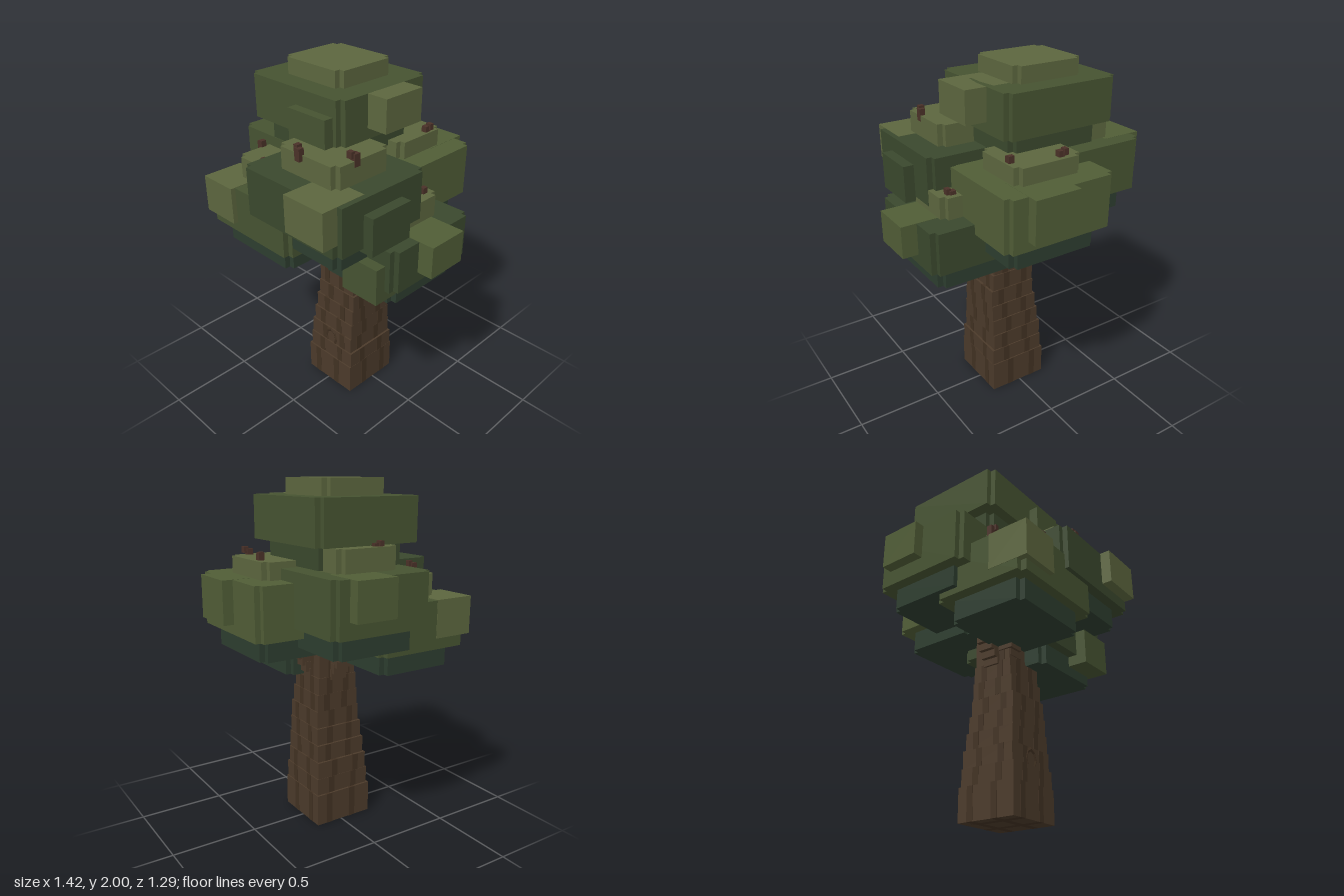
import * as THREE from 'three';

const material = (color) => new THREE.MeshStandardMaterial({ color, flatShading: true });

// box from its centre and size
function box(parent, name, mat, [x, y, z], [w, h, d]) {
  const mesh = new THREE.Mesh(new THREE.BoxGeometry(w, h, d), mat);
  mesh.position.set(x, y, z);
  mesh.name = name;
  parent.add(mesh);
}

// block standing on height y, with a square notch cut from each upright corner
function notchedBlock(parent, name, mat, [x, y, z], [w, h, d]) {
  const n = 0.032, a = w / 2, b = d / 2;
  const shape = new THREE.Shape();
  for (const [sx, sz] of [[1, 1], [-1, 1], [-1, -1], [1, -1]]) {
    const corner = [[a, b - n], [a - n, b - n], [a - n, b]];
    if (sx !== sz) corner.reverse();
    for (const [px, pz] of corner) {
      if (shape.curves.length || shape.currentPoint.lengthSq()) shape.lineTo(sx * px, sz * pz);
      else shape.moveTo(px, pz);
    }
  }
  const geometry = new THREE.ExtrudeGeometry(shape, { depth: h, bevelEnabled: false });
  geometry.rotateX(-Math.PI / 2);
  const mesh = new THREE.Mesh(geometry, mat);
  mesh.position.set(x, y, z);
  mesh.name = name;
  parent.add(mesh);
}

export function createModel() {
  const tree = new THREE.Group();
  tree.name = 'blockTree';
  const light = material(0x5c663e), fresh = material(0x505d36), mid = material(0x465331);
  const deep = material(0x3a482d), shade = material(0x2d3d2f);
  const bark = material(0x4b3a2a), barkDark = material(0x413122), twigWood = material(0x4a3128);

  // leaf clump: main block, smaller pale cap above, shaded layer below
  function clump(name, mat, [x, y, z], [w, h, d], capHeight = 0.122, underMat = shade) {
    const group = new THREE.Group();
    group.name = name;
    notchedBlock(group, 'leafBlock', mat, [x, y, z], [w, h, d]);
    notchedBlock(group, 'leafCap', light, [x, y + h, z], [w * 0.61, capHeight, d * 0.61]);
    notchedBlock(group, 'leafUnderside', underMat, [x, y - 0.12, z], [w * 0.81, 0.12, d * 0.81]);
    tree.add(group);
    // square knob pushed into the side of the clump
    return (knobMat, centre, side, height) =>
      box(group, 'leafKnob', knobMat, centre, [side, height, side]);
  }

  let knob = clump('crown', mid, [-0.125, 1.67, -0.03], [0.69, 0.24, 0.64], 0.09, deep);
  knob(light, [0.212, 1.82, -0.032], 0.265, 0.18);
  knob(mid, [0.03, 1.73, 0.21], 0.27, 0.18);
  knob = clump('frontClump', deep, [0.148, 1.275, 0.27], [0.695, 0.27, 0.63]);
  knob(light, [0.33, 1.443, 0.51], 0.27, 0.206);
  knob(deep, [0.422, 1.355, 0.275], 0.27, 0.21);
  knob = clump('leftClump', mid, [-0.325, 1.25, -0.078], [0.65, 0.295, 0.605]);
  knob(fresh, [-0.59, 1.443, -0.17], 0.24, 0.206);
  knob = clump('lowerLeftClump', mid, [-0.23, 1.095, 0.27], [0.66, 0.27, 0.58]);
  knob(light, [-0.441, 1.262, 0.467], 0.242, 0.212);
  knob = clump('lowerRightClump', deep, [0.3, 1.005, 0.015], [0.635, 0.24, 0.6]);
  knob(fresh, [0.585, 1.156, 0.012], 0.245, 0.182);
  knob(mid, [0.435, 1.05, 0.257], 0.24, 0.21);
  knob = clump('backClump', fresh, [0.044, 1.19, -0.305], [0.662, 0.295, 0.57], 0.095);
  knob(fresh, [0.12, 1.366, -0.515], 0.27, 0.24);

  // stepped trunk narrowing upward, with thin bark strips on every face
  const trunk = new THREE.Group();
  trunk.name = 'trunk';
  [0.012, 0.018, 0.013, 0.021, 0.028, 0.035, 0.028, 0.022, 0.02].forEach((x, i, all) => {
    const w = 0.36 - i * 0.0145, d = 0.365 - i * 0.0155, z = 0.018 - i * 0.001;
    const bottom = i ? 0.087 + i * 0.1 : 0;
    const top = i < all.length - 1 ? 0.187 + i * 0.1 : 1.3;
    const y = (bottom + top) / 2, h = top - bottom;
    box(trunk, 'trunkStep', bark, [x, y, z], [w, h, d]);
    for (const side of [-1, 1]) {
      const shift = side * 0.22 + (i % 3) * 0.06 - 0.06;
      box(trunk, 'barkStrip', barkDark, [x + shift * w, y, z], [0.04, h, d + 0.004]);
      box(trunk, 'barkStrip', barkDark, [x, y, z + shift * d], [w + 0.004, h, 0.04]);
    }
  });
  const knot = new THREE.Mesh(new THREE.TorusGeometry(0.042, 0.01, 4, 8), barkDark);
  knot.name = 'barkKnot';
  knot.scale.set(1, 1.35, 0.5);
  knot.position.set(0.012, 0.322, 0.183);
  trunk.add(knot);
  tree.add(trunk);

  // stepped branches rising from the trunk into the leaves
  for (const [dx, dz] of [[-0.3, 0], [0.25, 0.02], [0.03, -0.28], [-0.18, 0.2]]) {
    for (let i = 0; i <= 8; i++) {
      const t = 0.3 + i * 0.0875, side = 0.1 - i * 0.004;
      box(tree, 'branchStep', bark, [0.02 + dx * t, 0.9 + i * 0.04, 0.01 + dz * t], [side, 0.06, side]);
    }
  }

  // twigs poking out of the leaves, each a stem with an offset tip
  const twigTops = [
    [-0.48, 1.695, -0.01], [-0.44, 1.53, 0.27], [-0.22, 1.535, 0.45], [0.11, 1.715, 0.465],
    [0.345, 1.715, 0.32], [0.415, 1.4, -0.12], [0.22, 1.625, -0.375], [-0.045, 1.625, -0.44],
  ];
  twigTops.forEach((top, i) => {
    const twig = new THREE.Group();
    twig.name = 'twig';
    box(twig, 'twigStem', twigWood, [0.002, -0.046, -0.003], [0.032, 0.068, 0.035]);
    box(twig, 'twigTip', twigWood, [-0.008, -0.018, 0.017], [0.032, 0.036, 0.026]);
    twig.rotation.y = i * Math.PI / 2;
    twig.position.set(...top);
    tree.add(twig);
  });
  return tree;
}
